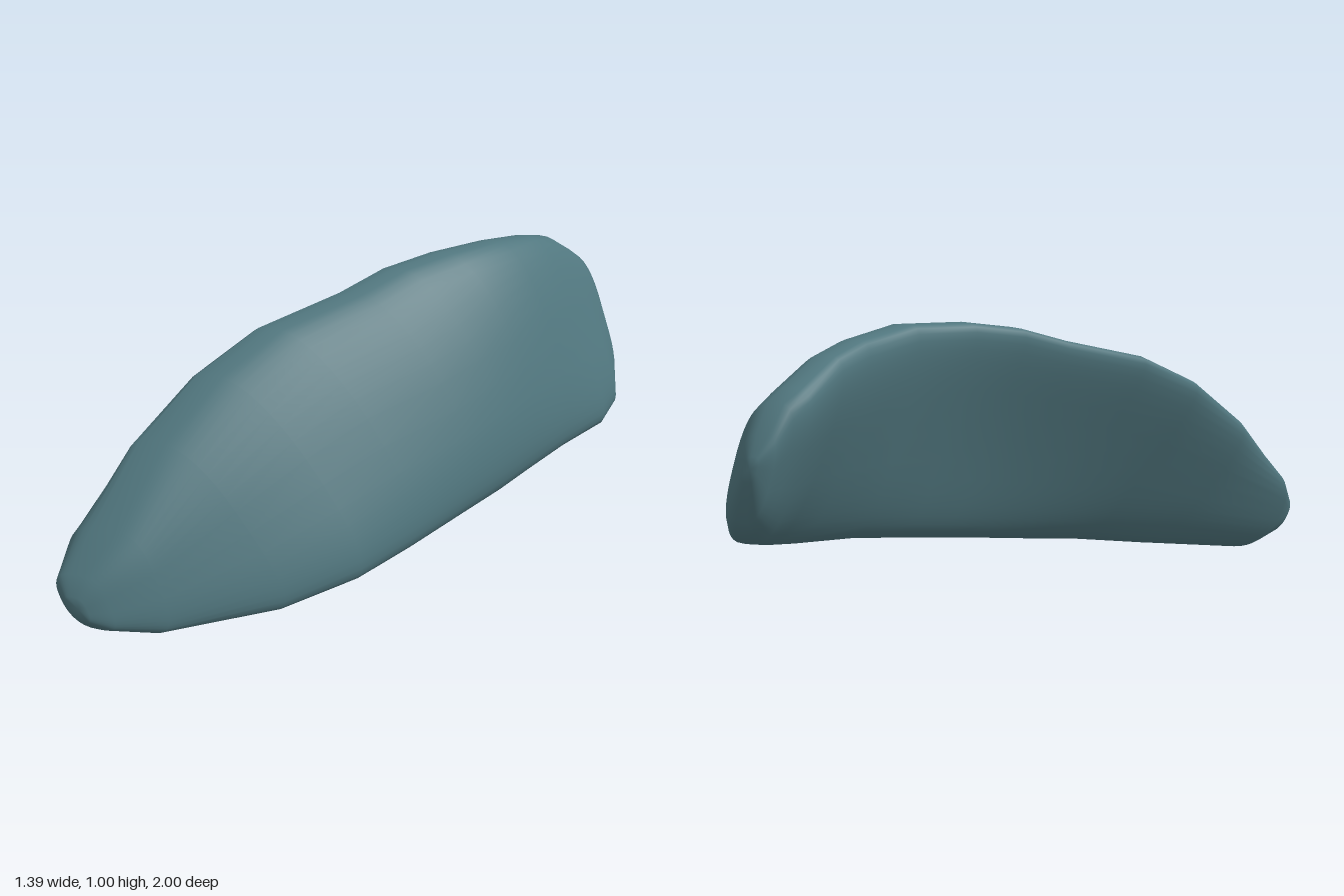
import * as THREE from 'three';

// Cross-sections from the front tip to the back end:
// z, bottom y, top y, inner x, outer x, half thickness, outward bow
const SECTIONS = [
  [1.0, 0.07, 0.15, -0.65, -0.57, 0.035, 0],
  [0.97, 0.035, 0.21, -0.68, -0.5, 0.085, -0.01],
  [0.88, 0.0, 0.33, -0.66, -0.36, 0.145, -0.025],
  [0.68, 0.035, 0.55, -0.59, -0.04, 0.145, 0],
  [0.49, 0.08, 0.72, -0.475, 0.145, 0.14, 0.025],
  [0.3, 0.12, 0.83, -0.345, 0.255, 0.135, 0.045],
  [0.08, 0.17, 0.905, -0.15, 0.375, 0.135, 0.055],
  [-0.06, 0.2, 0.96, -0.045, 0.45, 0.13, 0.055],
  [-0.2, 0.23, 0.99, 0.075, 0.515, 0.125, 0.04],
  [-0.37, 0.265, 1.0, 0.205, 0.595, 0.115, 0.015],
  [-0.57, 0.29, 0.975, 0.28, 0.69, 0.105, -0.01],
  [-0.7, 0.32, 0.945, 0.305, 0.705, 0.105, -0.01],
  [-0.85, 0.37, 0.87, 0.335, 0.655, 0.105, 0],
  [-0.91, 0.42, 0.835, 0.365, 0.615, 0.09, 0],
  [-0.965, 0.475, 0.75, 0.395, 0.565, 0.065, 0],
  [-1.0, 0.61, 0.69, 0.43, 0.49, 0.025, 0],
];
const RING = 40;

const softPower = (v, p) => Math.sign(v) * Math.abs(v) ** p;

// Leaning, bowed slab section with rounded rims
function sectionPoint([z, yb, yt, xl, xr, half, bow], angle) {
  const h = softPower(Math.cos(angle), 0.75);
  const w = softPower(Math.sin(angle), 0.65);
  const top = xl + half * 0.6;
  const bottom = xr - half * 0.7;
  const x = THREE.MathUtils.lerp(bottom, top, (h + 1) / 2) + bow * (1 - h * h) + w * half;
  return [x, (yb + yt) / 2 + (h * (yt - yb)) / 2, z];
}

function shellGeometry() {
  const positions = [];
  const index = [];
  for (const section of SECTIONS) {
    for (let j = 0; j < RING; j++) positions.push(...sectionPoint(section, (j / RING) * Math.PI * 2));
  }
  for (let i = 0; i < SECTIONS.length - 1; i++) {
    for (let j = 0; j < RING; j++) {
      const k = (j + 1) % RING;
      const a = i * RING + j, b = i * RING + k;
      index.push(a, b, a + RING, b, b + RING, a + RING);
    }
  }
  // Close both ends with a fan around the section centre
  const last = SECTIONS.length - 1;
  for (const i of [0, last]) {
    const [z, yb, yt, xl, xr] = SECTIONS[i];
    const centre = positions.length / 3;
    positions.push((xl + xr) / 2, (yb + yt) / 2, z);
    for (let j = 0; j < RING; j++) {
      const a = i * RING + j, b = i * RING + ((j + 1) % RING);
      if (i === 0) index.push(centre, b, a);
      else index.push(centre, a, b);
    }
  }
  const geometry = new THREE.BufferGeometry();
  geometry.setAttribute('position', new THREE.Float32BufferAttribute(positions, 3));
  geometry.setIndex(index);
  geometry.computeVertexNormals();
  return geometry;
}

export function createModel() {
  const group = new THREE.Group();
  const shell = new THREE.Mesh(shellGeometry(), new THREE.MeshStandardMaterial({ color: 0x51777f }));
  shell.name = 'curvedShell';
  group.add(shell);
  return group;
}
